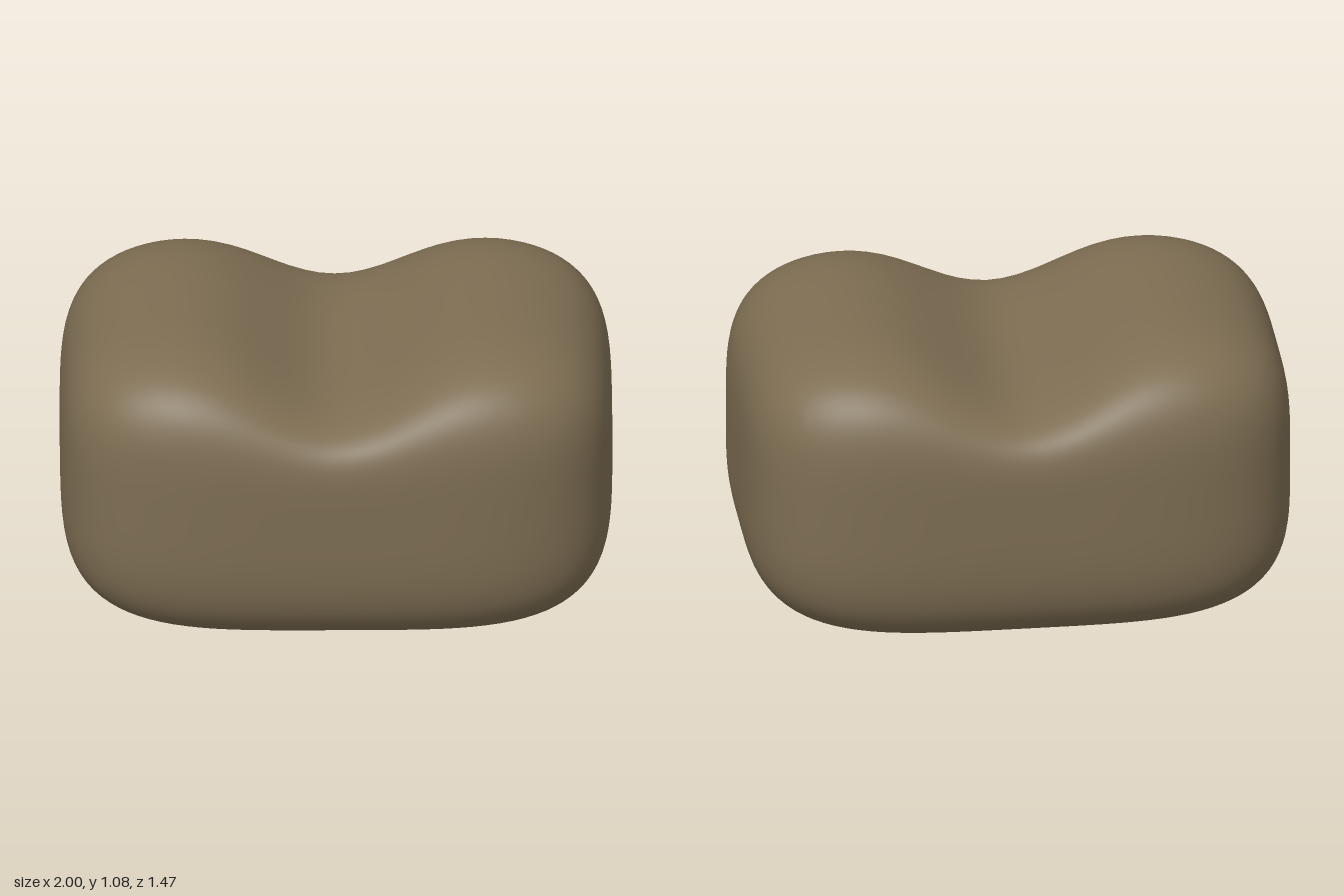
import * as THREE from 'three';
import { mergeVertices } from 'three/addons/utils/BufferGeometryUtils.js';

const HALF_WIDTH = 1, HALF_HEIGHT = 0.58, HALF_DEPTH = 0.735;
const CENTRE_Y = 0.53, POWER = 4;

// Soft block: a cube rounded into a superellipsoid, with a saddle dip
// running front to back across the top and a flat underside
function cushionGeometry() {
  let geometry = new THREE.BoxGeometry(2, 2, 2, 32, 32, 32);
  geometry.deleteAttribute('normal');
  geometry.deleteAttribute('uv');
  geometry = mergeVertices(geometry);
  geometry.clearGroups();

  const position = geometry.attributes.position;
  const p = new THREE.Vector3();
  for (let i = 0; i < position.count; i++) {
    p.fromBufferAttribute(position, i);
    const norm = Math.pow(
      Math.abs(p.x) ** POWER + Math.abs(p.y) ** POWER + Math.abs(p.z) ** POWER, 1 / POWER);
    p.divideScalar(norm);

    // The dip fades out towards mid height
    const x = p.x * HALF_WIDTH;
    const dip = 0.225 * Math.exp(-0.5 * (x / 0.24) ** 2) * Math.max(p.y, 0) ** 1.5;
    const y = Math.max(CENTRE_Y + p.y * HALF_HEIGHT - dip, 0);
    position.setXYZ(i, x, y, p.z * HALF_DEPTH);
  }
  geometry.computeVertexNormals();
  return geometry;
}

export function createModel() {
  const group = new THREE.Group();
  group.name = 'saddleCushion';
  const brown = new THREE.MeshStandardMaterial({ color: 0x7d6d52 });
  brown.name = 'earthBrown';

  const cushion = new THREE.Mesh(cushionGeometry(), brown);
  cushion.name = 'cushionBody';
  group.add(cushion);
  return group;
}
